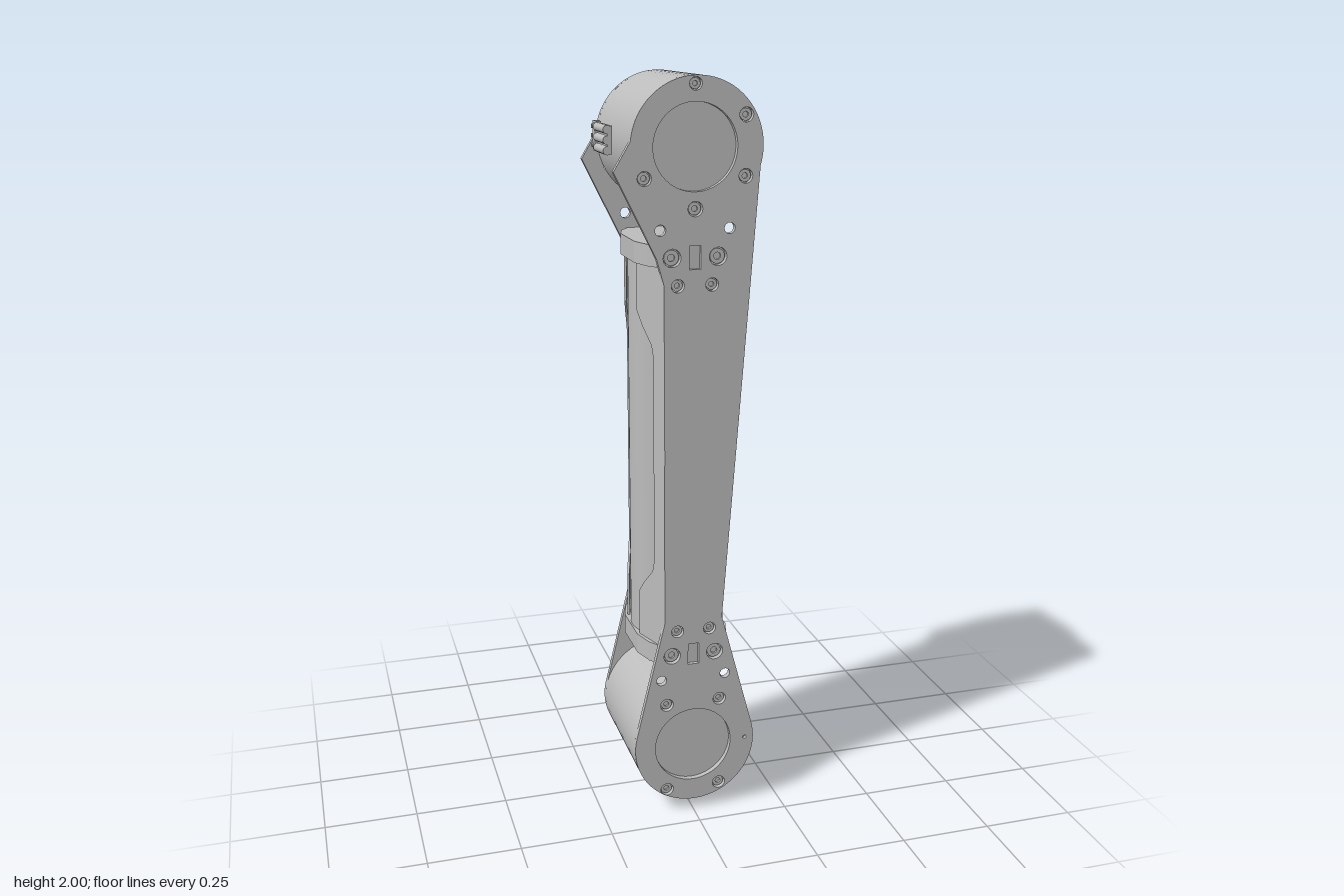
import * as THREE from 'three';

const TOP_Y = 1.83, LOW_Y = 0.205, MID_Y = 1.02, CX = 0.005, R = 0.17;
const metal = new THREE.MeshStandardMaterial({ color: 0xbcbcbc });
metal.name = 'greyMetal';

function add(parent, name, geometry, x = 0, y = 0, z = 0) {
  const mesh = new THREE.Mesh(geometry, metal);
  mesh.name = name;
  mesh.position.set(x, y, z);
  parent.add(mesh);
  return mesh;
}

function polygon(points) {
  return new THREE.Shape(points.map(([x, y]) => new THREE.Vector2(x, y)));
}

const extrude = (shape, depth) =>
  new THREE.ExtrudeGeometry(shape, { depth, bevelEnabled: false, curveSegments: 32 });

// Screw positions: x, y, hole radius
const screws = [
  [0, 1.98, 0.016], [0.13, 1.905, 0.018], [-0.13, 1.905, 0.018],
  [0.13, 1.757, 0.018], [-0.13, 1.757, 0.018], [0, 1.68, 0.019],
  [-0.15, 0.205, 0.015], [0.15, 0.205, 0.005],
];
for (const s of [-1, 1]) {
  screws.push([s * 0.075, 0.335, 0.018], [s * 0.075, 0.075, 0.018]);
  for (const d of [0.47, -0.47]) {
    screws.push([s * 0.045, MID_Y + d, 0.017], [s * 0.06, MID_Y + d * 1.15, 0.023]);
  }
}
const openHoles = [[0.09, 1.63, 0.014], [-0.09, 1.63, 0.014], [0.09, 0.41, 0.014], [-0.09, 0.41, 0.014]];

// Long side plate with a round eye at each end
function plateGeometry() {
  const s = new THREE.Shape();
  s.moveTo(0.08, 1.5);
  s.absarc(CX, TOP_Y, R, -0.28, Math.PI - 0.1, false);
  s.lineTo(-0.207, 1.775);
  s.lineTo(-0.1, 1.56);
  s.lineTo(-0.08, 1.49);
  s.lineTo(-0.08, 0.58);
  s.absarc(CX, LOW_Y, R, Math.PI - 0.25, Math.PI * 2 + 0.25, false);
  s.lineTo(0.08, 0.58);
  s.closePath();
  const circles = [...screws, ...openHoles, [0, TOP_Y, 0.108], [0, LOW_Y, 0.108]];
  for (const [x, y, r] of circles) s.holes.push(new THREE.Path().absarc(x, y, r, 0, Math.PI * 2, true));
  for (const y of [1.56, 0.48]) {
    s.holes.push(polygon([[-0.015, y - 0.03], [-0.015, y + 0.03], [0.015, y + 0.03], [0.015, y - 0.03]]));
  }
  return extrude(s, 0.016);
}

// Plate with its recessed screw heads, facing +z
function platePart(name, sign) {
  const g = new THREE.Group();
  g.name = name;
  add(g, 'sidePlate', plateGeometry(), 0, 0, sign > 0 ? 0.167 : -0.183);
  for (const [x, y, r] of screws) {
    const profile = [[0, 0.003], [0.4, 0.003], [0.4, 0.009], [0.85, 0.009], [0.85, 0]]
      .map(([u, h]) => new THREE.Vector2(u * r, h)).reverse();
    const head = new THREE.LatheGeometry(profile, 16).toNonIndexed();
    head.computeVertexNormals();
    head.rotateX(sign * Math.PI / 2);
    add(g, 'screwHead', head, x, y, sign * 0.166);
  }
  for (const y of [1.56, 0.48]) add(g, 'slotKey', new THREE.BoxGeometry(0.03, 0.06, 0.008), 0, y, sign * 0.168);
  return g;
}

// Slanted flange with a cut-away middle, for the +x +z corner
function flangeGeometry() {
  const wide = 0.125, slim = 0.05;
  const shape = polygon([
    [0, 0.5], [wide, 0.5], [wide, 0.63], [0.1, 0.665], [slim + 0.008, 0.71], [slim, 0.74],
    [slim, 1.3], [slim + 0.008, 1.33], [0.1, 1.375], [wide, 1.41], [wide, 1.54], [0, 1.54],
  ]);
  const geo = extrude(shape, 0.006);
  const u = new THREE.Vector3(0.04, 0, -0.118).normalize();
  const v = new THREE.Vector3(0, 1, 0);
  const m = new THREE.Matrix4().makeBasis(u, v, u.clone().cross(v));
  m.setPosition(0.075, -MID_Y, 0.181);
  m.multiply(new THREE.Matrix4());
  const shift = new THREE.Matrix4().makeTranslation(0, 0, 0);
  return geo.applyMatrix4(shift.multiply(m));
}

// Cable connector with three plugs, outward along +y
function connector(name, x, y, angle) {
  const g = new THREE.Group();
  g.name = name;
  add(g, 'connectorFoot', new THREE.BoxGeometry(0.076, 0.012, 0.045), 0, 0.01, -0.122);
  add(g, 'connectorBody', new THREE.BoxGeometry(0.07, 0.016, 0.025), 0, 0.018, -0.09);
  add(g, 'connectorBase', new THREE.BoxGeometry(0.07, 0.012, 0.105), 0, 0.012, -0.026);
  for (const i of [-1, 0, 1]) {
    add(g, 'plug', new THREE.CylinderGeometry(0.011, 0.011, 0.108, 16).rotateX(Math.PI / 2), i * 0.026, 0.019, -0.026);
    for (const z of [-0.112, -0.133]) {
      add(g, 'pin', new THREE.CylinderGeometry(0.006, 0.006, 0.008, 12), i * 0.024, 0.018, z);
    }
  }
  g.position.set(x, y, 0);
  g.rotation.z = angle;
  return g;
}

export function createModel() {
  const model = new THREE.Group();
  model.name = 'armLink';

  // Joint barrels
  for (const [name, y] of [['upperBarrel', TOP_Y], ['lowerBarrel', LOW_Y]]) {
    add(model, name, new THREE.CylinderGeometry(R, R, 0.336, 64).rotateX(Math.PI / 2), CX, y, 0);
  }

  // Front and back plates
  model.add(platePart('frontPlate', 1), platePart('backPlate', -1));

  // Central tube
  add(model, 'tube', new THREE.CylinderGeometry(0.124, 0.124, 1.06, 48), 0, MID_Y, 0);

  // Eight-sided collars closing both ends of the tube
  const collar = polygon([
    [0.085, 0.166], [0.11, 0.13], [0.128, 0.07], [0.128, -0.07], [0.11, -0.13], [0.085, -0.166],
    [-0.085, -0.166], [-0.11, -0.13], [-0.128, -0.07], [-0.128, 0.07], [-0.11, 0.13], [-0.085, 0.166],
  ]);
  for (const [name, y] of [['upperCollar', 1.535], ['lowerCollar', 0.45]]) {
    add(model, name, extrude(collar, 0.055).rotateX(-Math.PI / 2), 0, y, 0);
  }

  // Four flanges, turned half a revolution about each axis of the link
  const flange = flangeGeometry();
  for (const [x, y, z] of [[0, 0, 0], [1, 0, 0], [0, 1, 0], [0, 0, 1]]) {
    add(model, 'flange', flange, 0, MID_Y, 0).rotation.set(x * Math.PI, y * Math.PI, z * Math.PI);
  }

  // Connectors on both barrels
  model.add(
    connector('upperLeftConnector', CX + R, 1.838, -Math.PI / 2),
    connector('upperRightConnector', CX - R, 1.838, Math.PI / 2),
    connector('lowerTopConnector', CX, LOW_Y + R, 0),
    connector('lowerBottomConnector', CX, LOW_Y - R, Math.PI),
  );
  return model;
}
